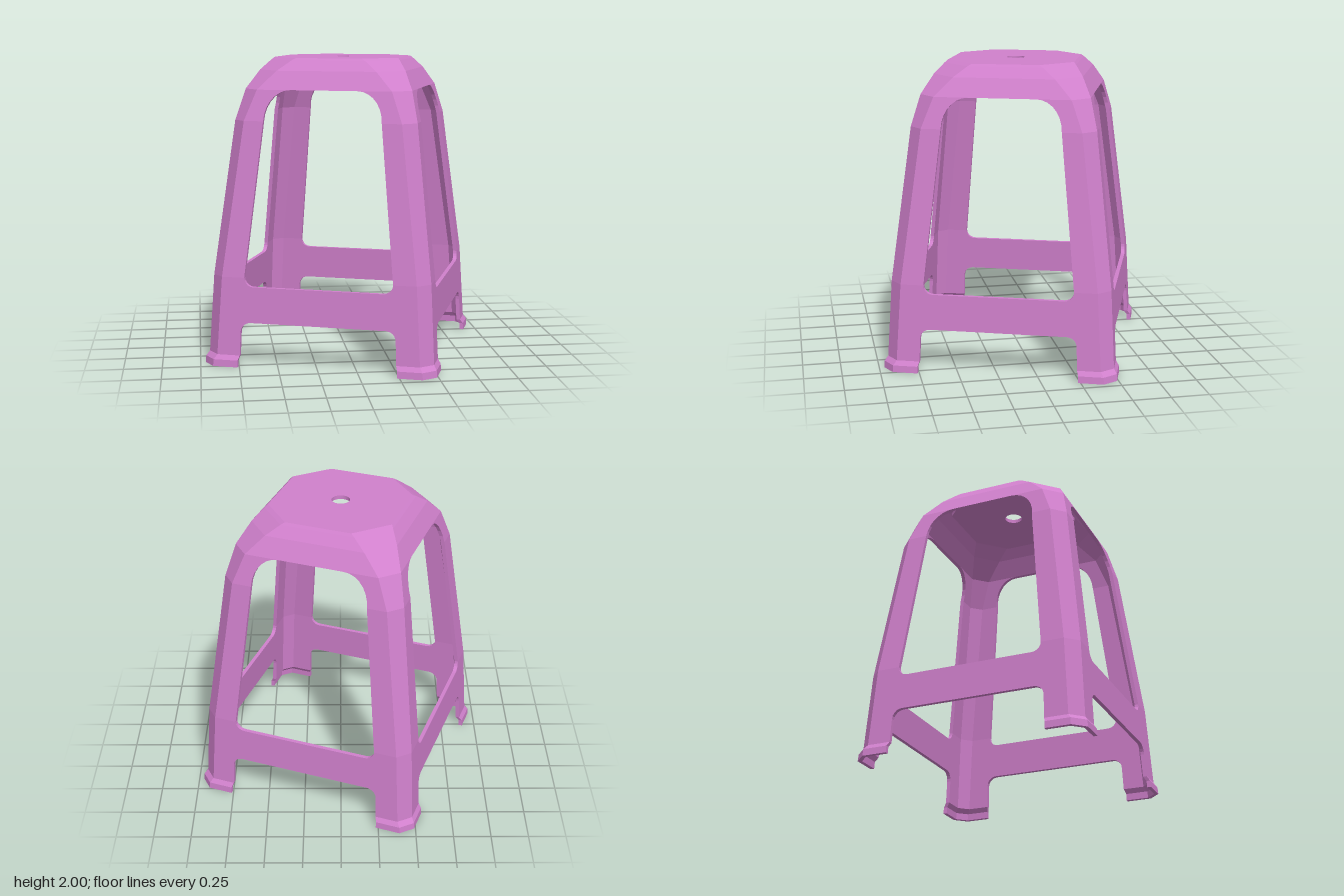
import * as THREE from 'three';

const T = 0.026; // shell thickness

// Shell profile: [height, half width, corner chamfer]
const PROFILE = [
  [0, 0.775, 0.078], [0.045, 0.772, 0.078], [0.075, 0.752, 0.078], [0.59, 0.724, 0.08],
  [1.6, 0.605, 0.085], [1.8, 0.555, 0.11], [1.92, 0.49, 0.16], [1.985, 0.435, 0.19], [2, 0.42, 0.2],
];

function profileAt(y) {
  let i = 1;
  while (i < PROFILE.length - 1 && PROFILE[i][0] < y) i++;
  const [a, b] = [PROFILE[i - 1], PROFILE[i]];
  const k = (y - a[0]) / (b[0] - a[0]);
  return [a[1] + (b[1] - a[1]) * k, a[2] + (b[2] - a[2]) * k];
}

// Angled section of one corner: o is the distance from the wall's middle to the opening edge
function section([y, o]) {
  const [w, ch] = profileAt(y);
  const wi = w - T, e = w - ch, ei = e - 0.414 * T;
  return [[o, w], [e, w], [w, e], [w, o], [wi, o], [wi, ei], [ei, wi], [o, wi]]
    .map(([x, z]) => [x, y, z]);
}

// Loft the corner section through [height, opening] levels
function loft(levels, capBottom, capTop) {
  const rings = levels.map(section);
  const pos = [];
  const quad = (a, b, c, d) => pos.push(...a, ...b, ...c, ...a, ...c, ...d);
  for (let i = 0; i < rings.length - 1; i++) {
    const [p, q] = [rings[i], rings[i + 1]];
    for (let j = 0; j < 8; j++) {
      const n = (j + 1) % 8;
      // no end faces where quarters meet at the wall's middle
      if (j % 4 === 3 && levels[i][1] === 0) continue;
      quad(p[j], p[n], q[n], q[j]);
    }
  }
  for (const [a, b, c, d] of [[0, 1, 6, 7], [1, 2, 5, 6], [2, 3, 4, 5]]) {
    const p = rings[0], q = rings[rings.length - 1];
    if (capBottom) quad(p[d], p[c], p[b], p[a]);
    if (capTop) quad(q[a], q[b], q[c], q[d]);
  }
  const g = new THREE.BufferGeometry();
  g.setAttribute('position', new THREE.Float32BufferAttribute(pos, 3));
  g.computeVertexNormals();
  return g;
}

// Quarter-ellipse fillet between two levels; the opening narrows towards yEnd
function fillet(yStart, oStart, yEnd, oEnd, steps) {
  return Array.from({ length: steps + 1 }, (_, i) => {
    const a = (i / steps) * Math.PI / 2;
    return [yStart + (yEnd - yStart) * Math.sin(a), oEnd + (oStart - oEnd) * Math.cos(a)];
  });
}

export function createModel() {
  const group = new THREE.Group();
  const material = new THREE.MeshStandardMaterial({ color: 0xd080cc, flatShading: true });

  const parts = {
    foot: loft([[0, 0.53], [0.045, 0.53], [0.075, 0.52], ...fillet(0.23, 0.515, 0.295, 0.45, 5)], true, false),
    rail: loft([[0.295, 0], [0.53, 0]], true, true),
    upperLeg: loft([...fillet(0.59, 0.492, 0.53, 0.43, 5).reverse(), ...fillet(1.6, 0.39, 1.8, 0.22, 7)], false, false),
    seatRim: loft([[1.8, 0], [1.92, 0], [1.985, 0], [2, 0]], true, true),
  };

  // Four identical corners
  for (const [name, geometry] of Object.entries(parts)) {
    for (let k = 0; k < 4; k++) {
      const mesh = new THREE.Mesh(geometry, material);
      mesh.name = name + (k + 1);
      mesh.rotation.y = k * Math.PI / 2;
      group.add(mesh);
    }
  }

  // Eight-sided seat plate with a finger hole
  const [w, ch] = profileAt(2);
  const s = w - T, e = w - ch - 0.414 * T;
  const shape = new THREE.Shape(
    [[s, -e], [s, e], [e, s], [-e, s], [-s, e], [-s, -e], [-e, -s], [e, -s]]
      .map(([x, y]) => new THREE.Vector2(x, y)));
  shape.holes.push(new THREE.Path().absarc(0, 0, 0.06, 0, Math.PI * 2, true));
  const plate = new THREE.ExtrudeGeometry(shape, { depth: T, bevelEnabled: false, curveSegments: 24 });
  plate.rotateX(-Math.PI / 2).translate(0, 2 - T, 0);
  const seat = new THREE.Mesh(plate, material);
  seat.name = 'seatPlate';
  group.add(seat);

  // The stool stands turned about its axis
  const stool = new THREE.Group();
  stool.name = 'stool';
  group.name = 'stoolBody';
  group.rotation.y = -20 * Math.PI / 180;
  stool.add(group);
  return stool;
}
